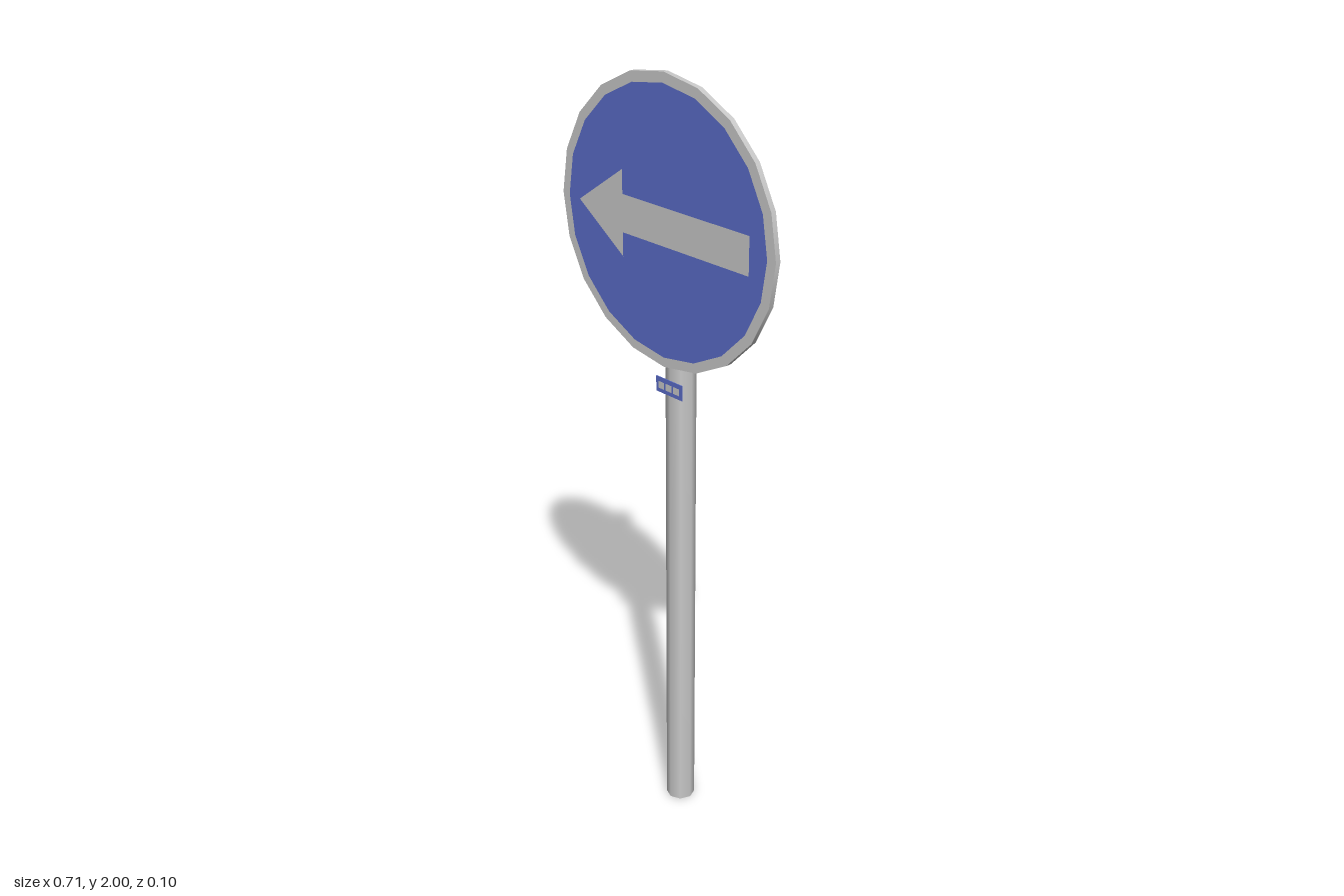
import * as THREE from 'three';

export function createModel() {
  const group = new THREE.Group();
  const grey = new THREE.MeshStandardMaterial({ name: 'light grey', color: 0xc8c8c8 });
  const blue = new THREE.MeshStandardMaterial({ name: 'blue', color: 0x5a6cc8 });

  const add = (name, geometry, material, x, y, z) => {
    const mesh = new THREE.Mesh(geometry, material);
    mesh.name = name;
    mesh.position.set(x, y, z);
    group.add(mesh);
    return mesh;
  };

  const signY = 1.645;

  // Eight-sided post
  add('post', new THREE.CylinderGeometry(0.0375, 0.0375, 1.905, 8), grey, 0, 0.9525, -0.0145);

  // Round sign plate, its rim showing around the blue face
  const plate = new THREE.CylinderGeometry(0.355, 0.355, 0.014, 20).rotateX(Math.PI / 2);
  add('signPlate', plate, grey, 0, signY, 0.035);
  add('signFace', new THREE.CircleGeometry(0.33, 20), blue, 0, signY, 0.0435);

  // Arrow pointing to -x
  const arrow = new THREE.Shape([
    [-0.283, 0], [-0.13, -0.107], [-0.13, -0.047], [0.283, -0.047],
    [0.283, 0.047], [-0.13, 0.047], [-0.13, 0.107],
  ].map(([x, y]) => new THREE.Vector2(x, y)));
  add('arrow', new THREE.ShapeGeometry(arrow), grey, 0, signY, 0.0515);

  // Small tag on the post with pale marks
  const tagY = 1.229;
  add('tag', new THREE.BoxGeometry(0.09, 0.04, 0.002), blue, 0, tagY, 0.025);
  for (const side of [-1, 0, 1]) {
    add('tagMark', new THREE.PlaneGeometry(0.02, 0.018), grey, side * 0.026, tagY, 0.0275);
  }

  return group;
}
